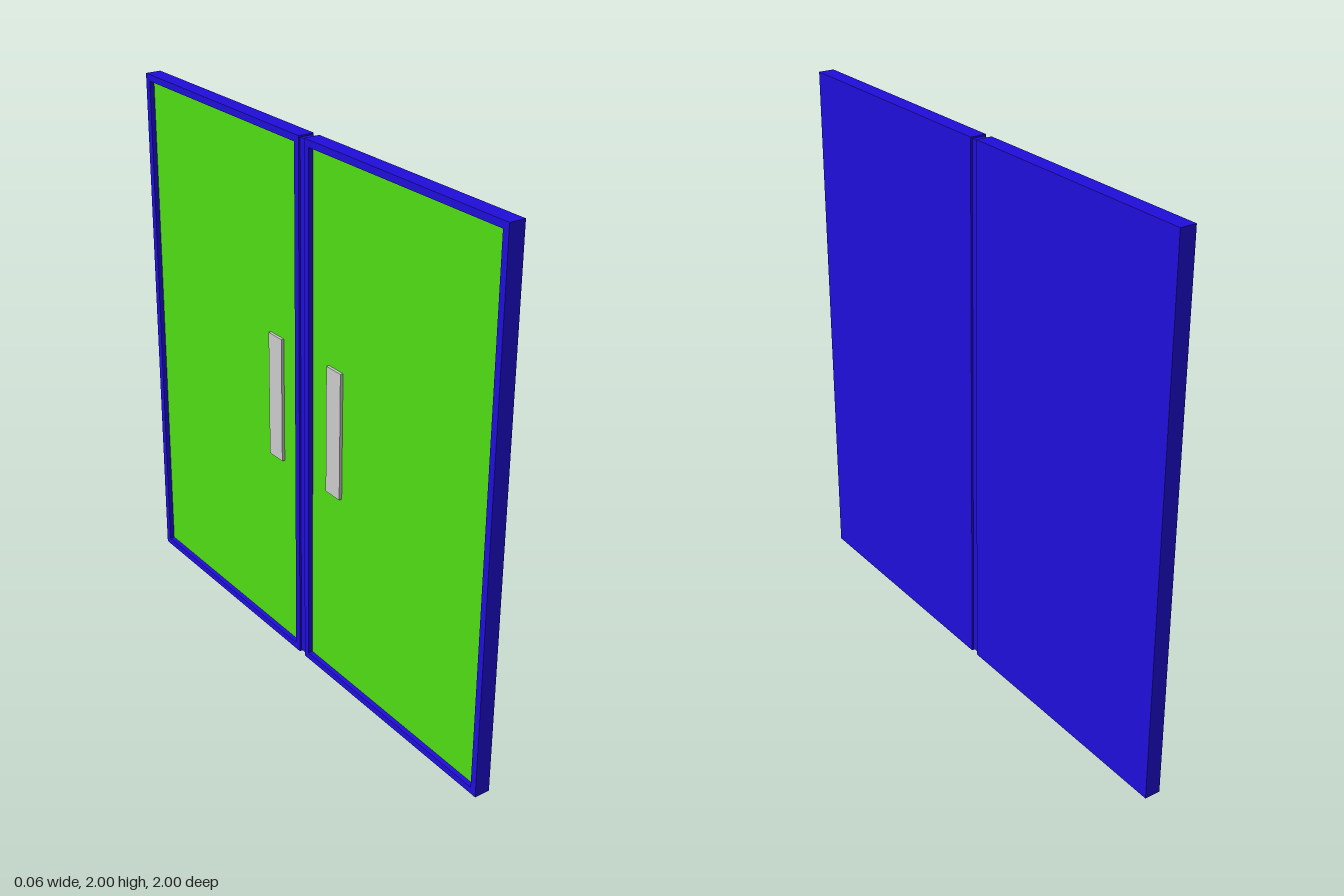
import * as THREE from 'three';

export function createModel() {
  const model = new THREE.Group();
  model.name = 'doubleDoor';

  const blue = new THREE.MeshStandardMaterial({ color: 0x1f0edb });
  const green = new THREE.MeshStandardMaterial({ color: 0x50dd14 });
  const grey = new THREE.MeshStandardMaterial({ color: 0xcccccc });

  const gap = 0.016;          // half the gap between the leaves
  const width = 1 - gap;      // one leaf along z
  const rim = 0.025;          // visible width of the raised rim
  const front = -0.03, back = 0.03, panelX = -0.01;

  // Box given by its x, y and z ranges
  function box(name, material, [x0, x1], [y0, y1], [z0, z1], parent) {
    const mesh = new THREE.Mesh(new THREE.BoxGeometry(x1 - x0, y1 - y0, z1 - z0), material);
    mesh.position.set((x0 + x1) / 2, (y0 + y1) / 2, (z0 + z1) / 2);
    mesh.name = name;
    parent.add(mesh);
  }

  // Rectangular rim with an opening, extruded along x
  function rimGeometry() {
    const w = width / 2;
    const shape = new THREE.Shape([[-w, 0], [w, 0], [w, 2], [-w, 2]].map(p => new THREE.Vector2(...p)));
    const i = w - rim;
    shape.holes.push(new THREE.Path([[-i, rim], [-i, 2 - rim], [i, 2 - rim], [i, rim]].map(p => new THREE.Vector2(...p))));
    const geometry = new THREE.ExtrudeGeometry(shape, { depth: panelX - front, bevelEnabled: false });
    return geometry.rotateY(Math.PI / 2).translate(front, 0, 0);
  }

  for (const side of [-1, 1]) {
    const leaf = new THREE.Group();
    leaf.name = side < 0 ? 'rearDoorLeaf' : 'frontDoorLeaf';
    leaf.position.z = side * (gap + width / 2);
    model.add(leaf);

    // Solid backing and raised rim
    box('doorBack', blue, [panelX, back], [0, 2], [-width / 2, width / 2], leaf);
    const frame = new THREE.Mesh(rimGeometry(), blue);
    frame.name = 'doorRim';
    leaf.add(frame);

    // Recessed panel
    const half = width / 2 - rim;
    box('doorPanel', green, [panelX - 0.002, panelX + 0.002], [rim, 2 - rim], [-half, half], leaf);

    // Handle plate near the meeting edge
    const hz = side * 0.175 - leaf.position.z;
    box('handle', grey, [-0.023, panelX], [0.76, 1.24], [hz - 0.04, hz + 0.04], leaf);
  }

  // Narrow post filling the gap between the leaves
  box('centrePost', blue, [-0.023, 0.023], [0.006, 1.994], [-gap, gap], model);

  return model;
}
